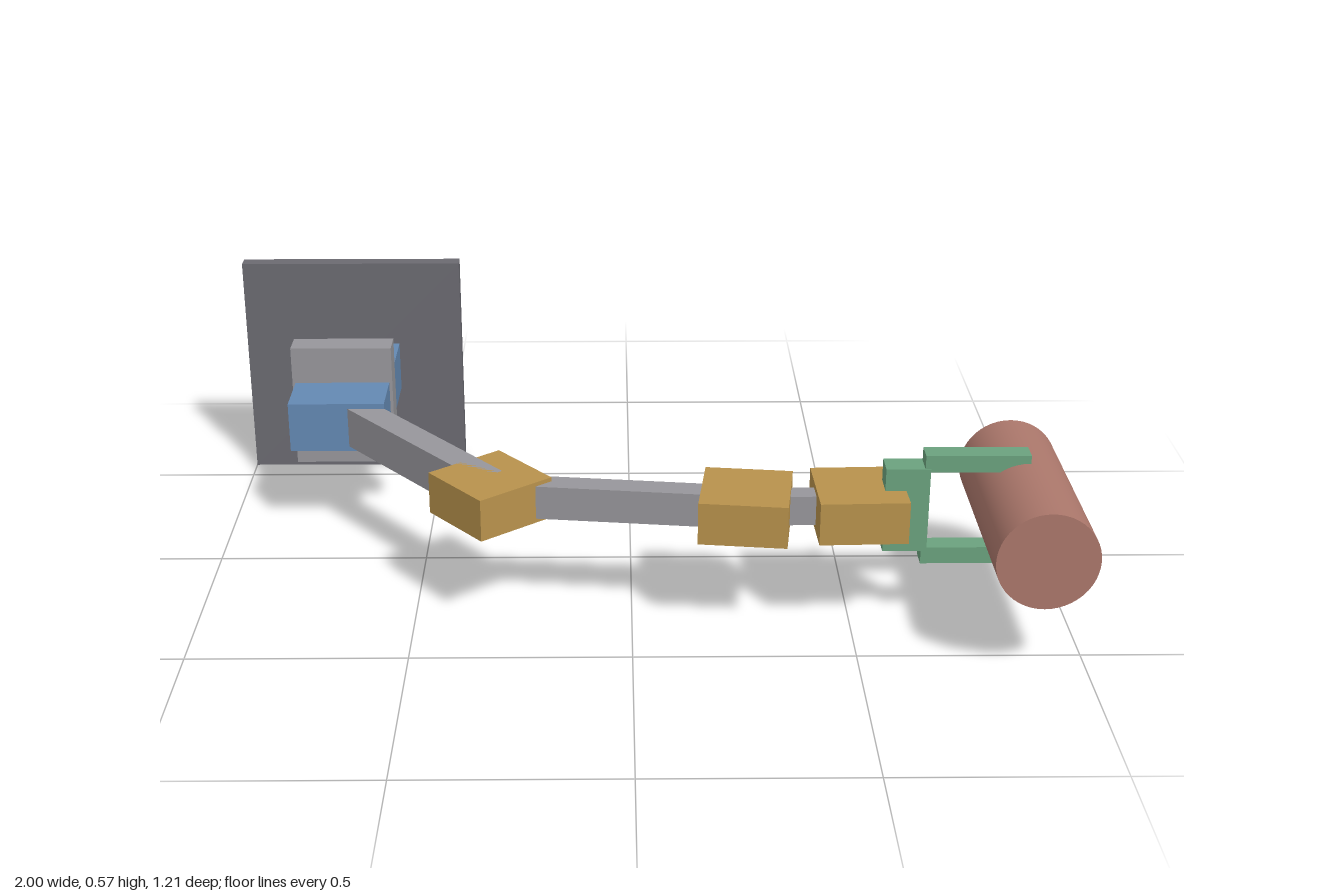
import * as THREE from 'three';

const AXIS_Y = 0.285; // height shared by the whole arm

const paint = (color) => new THREE.MeshStandardMaterial({ color });
const dark = paint(0x6b6a71);
const grey = paint(0x97969b);
const blue = paint(0x6489b3);
const gold = paint(0xb8924c);
const green = paint(0x6ba27e);
const clay = paint(0xab776b);

export function createModel() {
  const model = new THREE.Group();
  model.name = 'wallMountedArm';

  const add = (name, geometry, material, x, y, z) => {
    const mesh = new THREE.Mesh(geometry, material);
    mesh.name = name;
    mesh.position.set(x, y, z);
    model.add(mesh);
    return mesh;
  };
  const box = (name, material, [w, h, d], [x, y, z]) =>
    add(name, new THREE.BoxGeometry(w, h, d), material, x, y, z);

  // Wall plate and shoulder stack
  box('wallPlate', dark, [0.56, 0.568, 0.039], [-0.72, 0.284, -0.585]);
  box('baseMotor', blue, [0.235, 0.125, 0.182], [-0.72, AXIS_Y, -0.476]);
  box('shoulderPlate', grey, [0.25, 0.308, 0.07], [-0.72, AXIS_Y, -0.323]);
  box('shoulderMotor', blue, [0.235, 0.125, 0.18], [-0.72, AXIS_Y, -0.236]);

  // Arm chain: each link ends in a joint block turned along that link
  const joints = [[-0.72, -0.235], [-0.323, 0.251], [0.257, 0.323], [0.513, 0.315]];
  const links = [
    { name: 'upperArm', joint: 'elbowJoint', height: 0.1, width: 0.07 },
    { name: 'forearm', joint: 'wristJoint', height: 0.08, width: 0.06 },
    { name: 'wristLink', joint: 'handJoint', height: 0.07, width: 0.05 },
  ];
  links.forEach(({ name, joint, height, width }, i) => {
    const [x0, z0] = joints[i];
    const [x1, z1] = joints[i + 1];
    const turn = -Math.atan2(z1 - z0, x1 - x0);
    const length = Math.hypot(x1 - x0, z1 - z0);
    box(name, grey, [length, height, width], [(x0 + x1) / 2, AXIS_Y, (z0 + z1) / 2]).rotation.y = turn;
    box(joint, gold, [0.2, 0.1, 0.2], [x1, AXIS_Y, z1]).rotation.y = turn;
  });

  // Gripper: palm and two mirrored fingers
  box('palm', green, [0.1, 0.203, 0.06], [0.617, 0.286, 0.316]);
  for (const side of [1, -1]) {
    box(side > 0 ? 'upperFinger' : 'lowerFinger', green,
      [0.235, 0.04, 0.05], [0.772, 0.286 + side * 0.113, 0.32]);
  }

  // Held cylinder lying along z
  add('heldCylinder', new THREE.CylinderGeometry(0.113, 0.113, 0.515, 48), clay,
    0.887, 0.2865, 0.351).rotation.x = Math.PI / 2;

  return model;
}
